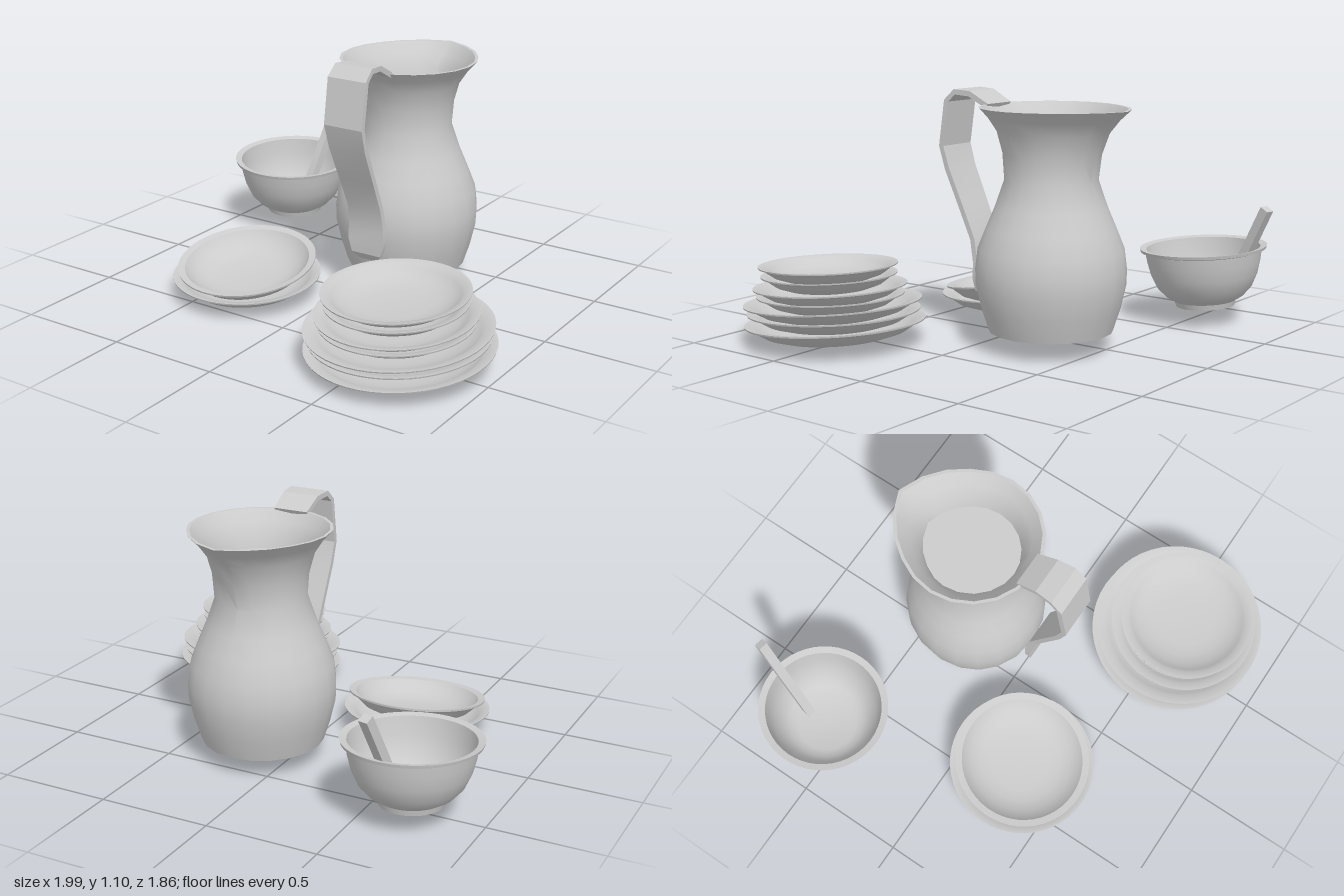
import * as THREE from 'three';
import { toCreasedNormals } from 'three/addons/utils/BufferGeometryUtils.js';

const material = new THREE.MeshStandardMaterial({ color: 0xcccccc });

function mesh(name, geometry, crease = 0.7) {
  const m = new THREE.Mesh(toCreasedNormals(geometry, crease), material);
  m.name = name;
  return m;
}

function lathe(profile, segments) {
  return new THREE.LatheGeometry(profile.map(([r, y]) => new THREE.Vector2(r, y)), segments);
}

// Shallow dish with its origin at the centre of the rim
const dishProfile = [
  [0, -1], [0.42, -1], [0.6, -0.87], [0.78, -0.62], [0.89, -0.3], [0.94, -0.12], [0.995, -0.08],
  [1, 0], [0.9, -0.06], [0.85, -0.27], [0.74, -0.55], [0.6, -0.75], [0.43, -0.85], [0, -0.85],
];

function dish(name, [x, y, z], radius, depth, tiltX, tiltZ) {
  const m = mesh(name, lathe(dishProfile.map(([r, h]) => [r * radius, h * depth]), 48));
  m.position.set(x, y, z);
  m.rotation.set(tiltX, 0, tiltZ);
  return m;
}

// Jug body: lathed wall, drawn out to a pointed spout at the back of the rim
function jugBody() {
  const g = lathe([
    [0, 0.095], [0.27, 0.095], [0.3, 0.19], [0.323, 0.29], [0.325, 0.36], [0.314, 0.45],
    [0.278, 0.54], [0.24, 0.63], [0.2, 0.745], [0.208, 0.86], [0.232, 0.95], [0.268, 1.005],
    [0.31, 1.052], [0.296, 1.052], [0.255, 1.003], [0.222, 0.95], [0.208, 0.895], [0, 0.895],
  ], 20);
  const p = g.attributes.position;
  for (let i = 0; i < p.count; i++) {
    const x = p.getX(i), y = p.getY(i), z = p.getZ(i);
    const angle = Math.abs(Math.atan2(x, -z));
    const lift = Math.pow(THREE.MathUtils.clamp((y - 0.74) / 0.31, 0, 1), 0.7);
    const pull = 1 + 0.22 * lift * Math.pow(Math.max(0, 1 - angle / 1.05), 1.5);
    p.setXYZ(i, x * pull, y, z * pull);
  }
  const m = mesh('jugBody', g);
  m.position.set(0.13, 0, -0.3);
  return m;
}

// Jug handle: a flat strap bent along a path of [z, y, half width]
function jugHandle() {
  const path = [
    [0.02, 0.2, 0.045], [0.04, 0.23, 0.075], [0.043, 0.29, 0.092], [0.04, 0.355, 0.09],
    [0.06, 0.46, 0.085], [0.12, 0.595, 0.088], [0.195, 0.76, 0.092], [0.225, 0.86, 0.095],
    [0.195, 1.06, 0.095], [0.15, 1.1, 0.093], [0.075, 1.095, 0.085], [-0.02, 1.045, 0.08],
  ];
  const n = path.length - 1;
  const g = new THREE.BoxGeometry(2, 1, 1, 1, n, 1);
  const p = g.attributes.position;
  for (let i = 0; i < p.count; i++) {
    const k = Math.round((p.getY(i) + 0.5) * n);
    const [z, y, w] = path[k];
    const a = path[Math.max(0, k - 1)], b = path[Math.min(n, k + 1)];
    const len = Math.hypot(b[0] - a[0], b[1] - a[1]);
    const off = p.getZ(i) * 0.024;
    p.setXYZ(i, p.getX(i) * w, y - off * (b[0] - a[0]) / len, z + off * (b[1] - a[1]) / len);
  }
  const m = mesh('jugHandle', g, 0.3);
  m.position.x = 0.135;
  return m;
}

// Deep footed bowl
function bowl() {
  const m = mesh('bowl', lathe([
    [0, 0], [0.135, 0], [0.142, 0.025], [0.18, 0.048], [0.218, 0.09], [0.245, 0.15], [0.26, 0.21],
    [0.268, 0.258], [0.288, 0.264], [0.292, 0.278], [0.262, 0.272], [0.25, 0.2], [0.232, 0.14],
    [0.2, 0.085], [0.17, 0.055], [0.135, 0.04], [0, 0.04],
  ], 48));
  m.position.set(-0.708, 0.088, -0.58);
  m.rotation.set(0.05, 0, -0.025);
  return m;
}

// Square stick leaning in the bowl
function stick() {
  const low = new THREE.Vector3(-0.71, 0.12, -0.675), high = new THREE.Vector3(-0.658, 0.575, -0.91);
  const m = mesh('stick', new THREE.BoxGeometry(0.042, 0.042, low.distanceTo(high)));
  m.position.copy(low).lerp(high, 0.5);
  m.lookAt(high);
  return m;
}

export function createModel() {
  const model = new THREE.Group();
  model.name = 'tableware';

  const jug = new THREE.Group();
  jug.name = 'jug';
  jug.add(jugBody(), jugHandle());

  const bowlSet = new THREE.Group();
  bowlSet.name = 'bowlWithStick';
  bowlSet.add(bowl(), stick());

  // Pair of dishes, the upper one resting at an angle
  const pair = new THREE.Group();
  pair.name = 'dishPair';
  pair.add(
    dish('lowerDish', [-0.355, 0.112, 0.282], 0.333, 0.085, 0.05, -0.01),
    dish('upperDish', [-0.353, 0.172, 0.285], 0.312, 0.1, 0.165, -0.01),
  );

  // Stack of plates: [rim height, z, radius, depth, tilt], bottom to top
  const stack = new THREE.Group();
  stack.name = 'plateStack';
  [
    [0.104, 0.522, 0.397, 0.085, 0.07],
    [0.152, 0.53, 0.38, 0.08, 0.05],
    [0.192, 0.535, 0.391, 0.08, 0.07],
    [0.222, 0.548, 0.325, 0.075, 0.045],
    [0.26, 0.55, 0.338, 0.075, 0.06],
    [0.31, 0.555, 0.299, 0.075, 0.05],
    [0.352, 0.56, 0.306, 0.075, 0.05],
  ].forEach(([y, z, r, depth, tilt], i) => {
    stack.add(dish('plate' + (i + 1), [0.605, y, z], r, depth, tilt, 0.022));
  });

  model.add(jug, bowlSet, pair, stack);
  return model;
}
